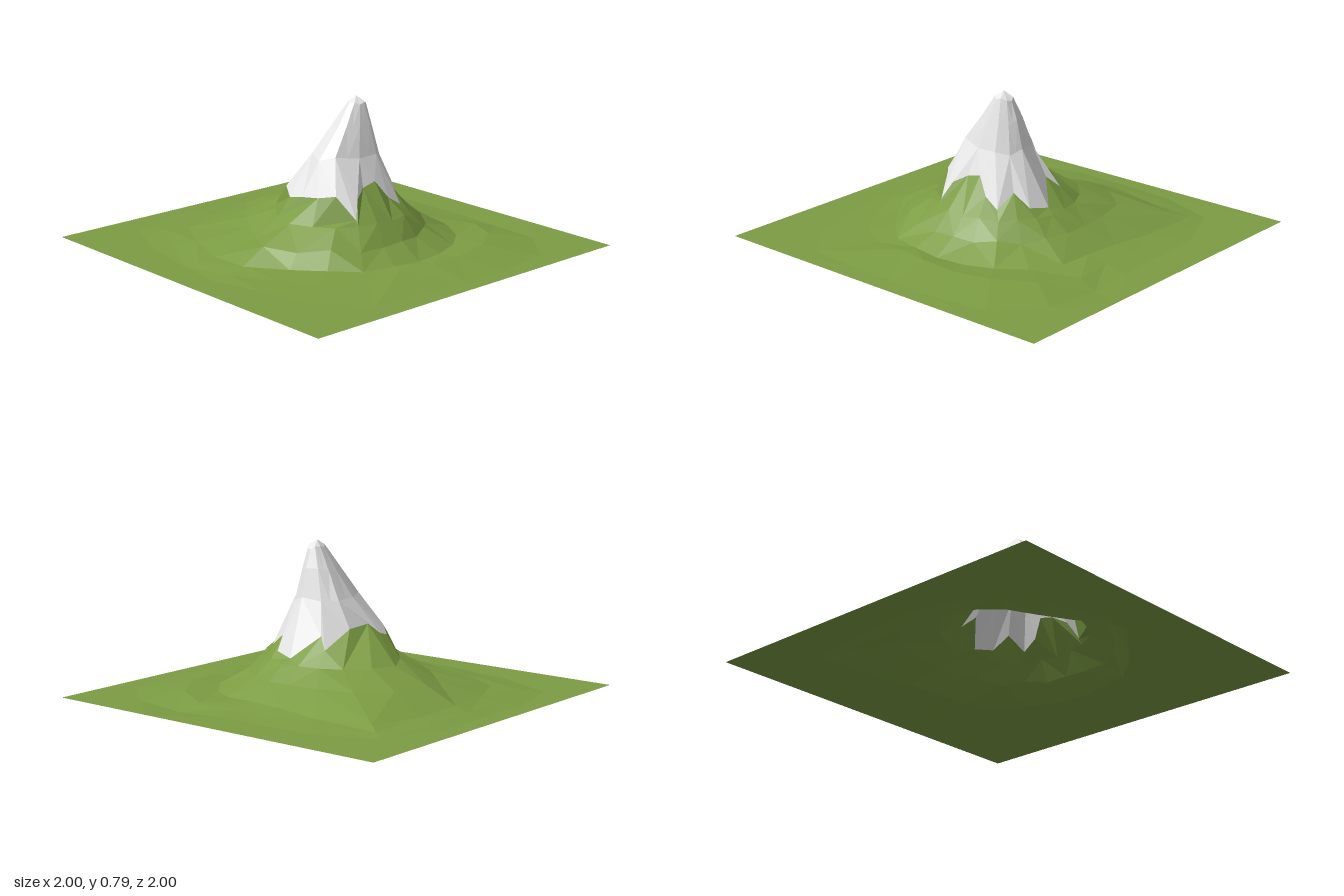
import * as THREE from 'three';

const N = 20;
const CX = 0.03, CZ = 0.09; // centre of the slopes
const PEAK = new THREE.Vector3(0.05, 0.79, 0.11);

// Jagged edge where snow meets grass: x, y, z, starting at +x and turning towards +z
const SNOW_LINE = [
  [0.31, 0.22, 0.07], [0.28, 0.24, 0.18], [0.2, 0.31, 0.21], [0.175, 0.24, 0.305], [0.095, 0.29, 0.3],
  [0.03, 0.38, 0.27], [-0.05, 0.36, 0.27], [-0.12, 0.32, 0.305], [-0.165, 0.23, 0.345], [-0.21, 0.34, 0.245],
  [-0.27, 0.33, 0.18], [-0.29, 0.32, 0.085], [-0.29, 0.3, -0.01], [-0.235, 0.33, -0.1], [-0.17, 0.3, -0.17],
  [-0.1, 0.32, -0.18], [-0.05, 0.37, -0.14], [0.085, 0.36, -0.13], [0.245, 0.27, -0.1], [0.2, 0.33, -0.04],
].map((p) => new THREE.Vector3(...p));

// Radii of the grass slopes at each of the N directions
const UPPER = [.32, .31, .3, .31, .31, .31, .32, .34, .37, .38, .41, .4, .38, .39, .42, .47, .45, .4, .36, .33];
const MIDDLE = [.42, .4, .39, .38, .38, .38, .4, .45, .48, .53, .58, .52, .5, .55, .62, .66, .65, .6, .5, .44];
const LOWER = [.55, .56, .55, .53, .51, .5, .51, .55, .56, .6, .71, .74, .78, .86, .85, .84, .86, .92, .74, .6];
const APRON = [.66, .72, .72, .68, .62, .59, .58, .65, .7, .72, .8, .83, .9, 1, .95, .92, .95, 1, .85, .7];
const FOOT = [.79, .84, .95, .97, .87, .82, .85, .97, .92, .86, .89, .9, 1, 1.13, 1.05, 1, 1.03, 1.08, .95, .82];

let seed = 7;
function jitter(amount) {
  seed = (seed * 16807) % 2147483647;
  return (seed / 2147483647 - 0.5) * 2 * amount;
}

const angle = (k) => (k / N) * Math.PI * 2;

// Ring of grass points at a height, slightly roughened
function slopeRing(radii, height, rough) {
  return radii.map((r, k) => new THREE.Vector3(
    CX + Math.cos(angle(k)) * r,
    height(k) + jitter(rough),
    CZ + Math.sin(angle(k)) * r,
  ));
}

// Ring near the summit with its own reach to each side; odd points sit mid-edge for broad facets
function summitRing(y, right, front, left, back, rough) {
  const ring = [];
  for (let k = 0; k < N; k++) {
    const c = Math.cos(angle(k)), s = Math.sin(angle(k));
    ring.push(new THREE.Vector3(
      PEAK.x + c * (c > 0 ? right : left),
      y + jitter(rough),
      PEAK.z + s * (s > 0 ? front : back),
    ));
  }
  for (let k = 1; k < N; k += 2) ring[k].lerpVectors(ring[k - 1], ring[(k + 1) % N], 0.5);
  return ring;
}

// Square outer border, with the nearest directions snapped to the corners
function borderRing() {
  const corners = { 2: [1, 1], 8: [-1, 1], 13: [-1, -1], 17: [1, -1] };
  const ring = [];
  for (let k = 0; k < N; k++) {
    const c = Math.cos(angle(k)), s = Math.sin(angle(k));
    const tx = Math.abs(c) < 1e-6 ? Infinity : ((c > 0 ? 1 : -1) - CX) / c;
    const tz = Math.abs(s) < 1e-6 ? Infinity : ((s > 0 ? 1 : -1) - CZ) / s;
    const t = Math.min(tx, tz);
    const [x, z] = corners[k] || [CX + c * t, CZ + s * t];
    ring.push(new THREE.Vector3(x, 0.008, z));
  }
  return ring;
}

// Faceted surface through rings listed from the inside out
function ringSurface(rings) {
  const pos = [];
  const tri = (...pts) => pts.forEach((p) => pos.push(p.x, p.y, p.z));
  for (let i = 0; i + 1 < rings.length; i++) {
    const a = rings[i], b = rings[i + 1];
    for (let k = 0; k < N; k++) {
      const n = (k + 1) % N;
      if (k % 2) {
        if (a[k] !== a[n]) tri(a[k], a[n], b[k]);
        tri(a[n], b[n], b[k]);
      } else {
        if (a[k] !== a[n]) tri(a[k], a[n], b[n]);
        tri(a[k], b[n], b[k]);
      }
    }
  }
  const g = new THREE.BufferGeometry();
  g.setAttribute('position', new THREE.Float32BufferAttribute(pos, 3));
  g.computeVertexNormals();
  return g;
}

export function createModel() {
  const grass = new THREE.MeshStandardMaterial({ color: 0x7c9c43, side: THREE.DoubleSide });
  grass.name = 'grass green';
  const snow = new THREE.MeshStandardMaterial({ color: 0xe6e6e6, side: THREE.DoubleSide });
  snow.name = 'snow white';

  // Snowy summit, leaning towards a shoulder on its right
  const cap = new THREE.Mesh(ringSurface([
    Array(N).fill(PEAK),
    summitRing(0.755, 0.052, 0.045, 0.045, 0.035, 0.012),
    summitRing(0.64, 0.085, 0.075, 0.13, 0.105, 0.015),
    summitRing(0.5, 0.12, 0.115, 0.25, 0.18, 0.018),
    SNOW_LINE,
  ]), snow);
  cap.name = 'snowCap';

  // Grassy slopes, low front ridge and flat surrounding ground
  const land = new THREE.Mesh(ringSurface([
    SNOW_LINE,
    slopeRing(UPPER, (k) => Math.min(0.2, SNOW_LINE[k].y - 0.02), 0.012),
    slopeRing(MIDDLE, () => 0.115, 0.012),
    slopeRing(LOWER, () => 0.042, 0.006),
    slopeRing(APRON, (k) => (k >= 2 && k <= 6 ? 0.045 : 0.025), 0.003),
    slopeRing(FOOT, (k) => (k === 1 ? 0 : 0.01), 0),
    borderRing(),
  ]), grass);
  land.name = 'grassyLand';

  const group = new THREE.Group();
  group.name = 'mountain';
  group.add(cap, land);
  return group;
}
